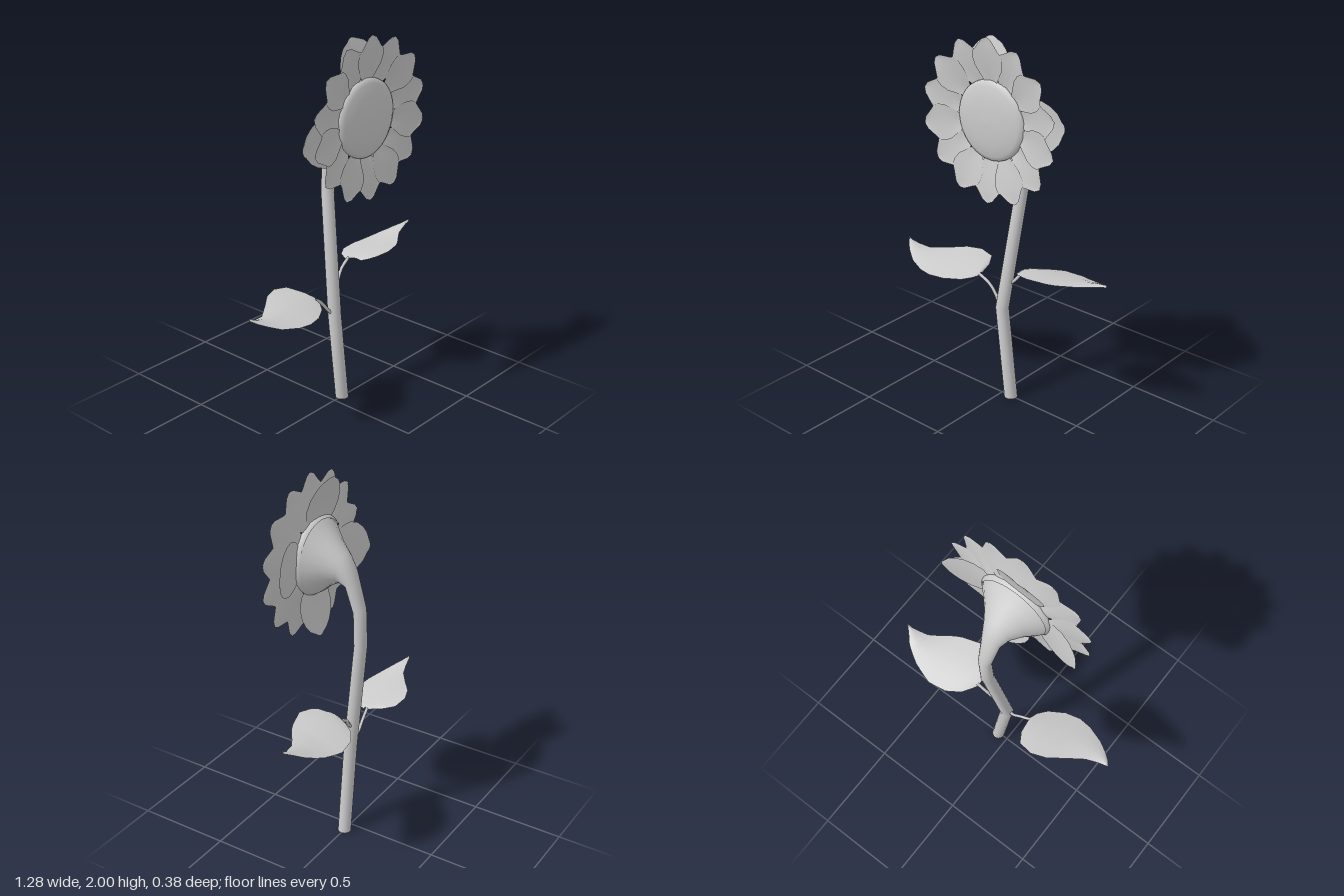
import * as THREE from 'three';

const grey = new THREE.MeshStandardMaterial({ color: 0xcccccc });
const greyThin = new THREE.MeshStandardMaterial({ color: 0xcccccc, side: THREE.DoubleSide });

// Surface through rows of equal length; closed joins the row ends.
function loft(rows, closed = false) {
  const n = rows[0].length, index = [];
  for (let i = 0; i < rows.length - 1; i++) {
    for (let j = 0; j < (closed ? n : n - 1); j++) {
      const k = (j + 1) % n;
      const a = i * n + j, b = i * n + k, c = a + n, d = b + n;
      index.push(a, c, b, b, c, d);
    }
  }
  const g = new THREE.BufferGeometry();
  g.setAttribute('position', new THREE.Float32BufferAttribute(rows.flat(2), 3));
  g.setIndex(index);
  g.computeVertexNormals();
  return g;
}

function add(parent, name, geometry, material = grey) {
  const mesh = new THREE.Mesh(geometry, material);
  mesh.name = name;
  parent.add(mesh);
  return mesh;
}

// Stem rings: x, y, z, radius, pitch in degrees (0 faces up, 90 faces forward)
const STEM = [
  [0.06, 0, 0, 0.035, 0], [0, 0.51, 0, 0.035, 0],
  [0.05, 1.15, -0.091, 0.034, 5], [0.06, 1.345, -0.092, 0.035, 25],
  [0.06, 1.51, -0.043, 0.053, 74], [0.06, 1.555, 0, 0.076, 84],
  [0.06, 1.57, 0.06, 0.12, 90], [0.06, 1.573, 0.112, 0.17, 90],
  [0.06, 1.58, 0.135, 0.19, 90],
];

function stemGeometry() {
  const sides = 20;
  return loft(STEM.map(([x, y, z, r, pitch]) => {
    const p = THREE.MathUtils.degToRad(pitch);
    return Array.from({ length: sides }, (_, j) => {
      const a = -j / sides * Math.PI * 2;
      const u = r * Math.cos(a), v = r * Math.sin(a);
      return [x + u, y - v * Math.sin(p), z + v * Math.cos(p)];
    });
  }).reverse(), true);
}

// Petal or sepal along +y: profile of [distance, half width, z], cupped across
function bladeGeometry(profile, cup) {
  return loft(profile.map(([r, w, z]) =>
    [-1, -0.5, 0, 0.5, 1].map(t => [t * w, r - 0.012 * t * t * (w > 0.03 ? 1 : 0), z + cup * t * t])));
}

// Leaf: stations of [x, back z, front z, rise], tilted across by slope
function leafGeometry(stations, height, slope) {
  return loft(stations.map(([x, back, front, rise]) =>
    [0, 0.25, 0.5, 0.75, 1].map(t => {
      const z = back + (front - back) * t;
      return [x, height + slope * z + rise + 0.012 * Math.sin(Math.PI * t), z];
    })));
}

function stalkGeometry(points) {
  const curve = new THREE.CatmullRomCurve3(points.map(p => new THREE.Vector3(...p)));
  return new THREE.TubeGeometry(curve, 8, 0.009, 6);
}

export function createModel() {
  const model = new THREE.Group();
  model.name = 'flower';

  // Stem flaring into the back of the head
  add(model, 'stem', stemGeometry());
  const foot = add(model, 'stemFoot', new THREE.CircleGeometry(0.035, 20));
  foot.rotation.x = Math.PI / 2;
  foot.position.x = 0.06;

  const head = new THREE.Group();
  head.name = 'flowerHead';
  head.position.set(0.06, 1.585, 0);
  model.add(head);

  // Domed seed disc
  const dome = [[0.185, 0.125], [0.2, 0.142], [0.197, 0.156], [0.175, 0.168], [0.12, 0.179], [0.06, 0.184], [0, 0.186]];
  const disc = add(head, 'seedDisc', new THREE.LatheGeometry(dome.map(p => new THREE.Vector2(...p)), 40));
  disc.rotation.x = Math.PI / 2;

  // Ring of overlapping pointed petals
  const petal = bladeGeometry([
    [0.16, 0.03, 0.14], [0.2, 0.036, 0.148], [0.235, 0.058, 0.156], [0.275, 0.083, 0.165],
    [0.315, 0.092, 0.172], [0.345, 0.088, 0.176], [0.365, 0.068, 0.178],
    [0.385, 0.052, 0.179], [0.4, 0.03, 0.18], [0.413, 0.002, 0.18],
  ], 0.004);
  const petals = 14;
  for (let i = 0; i < petals; i++) {
    const m = add(head, 'petal', petal, greyThin);
    m.rotation.z = i / petals * Math.PI * 2;
    m.position.z = i % 2 ? -0.004 : 0;
  }

  // Four broad sepals leaning back behind the petals
  const sepal = bladeGeometry([
    [0.14, 0.045, 0.135], [0.17, 0.085, 0.14], [0.21, 0.12, 0.137], [0.26, 0.135, 0.128],
    [0.31, 0.128, 0.116], [0.35, 0.105, 0.105], [0.38, 0.075, 0.096], [0.398, 0.035, 0.09],
  ], 0.008);
  for (const deg of [97, 5, 193, 280]) {
    add(head, 'sepal', sepal, greyThin).rotation.z = THREE.MathUtils.degToRad(deg - 90);
  }

  // Leaves and their stalks
  add(model, 'leftLeaf', leafGeometry([
    [0.148, -0.05, 0.05, -0.015], [0.165, -0.08, 0.085, -0.01], [0.2, -0.13, 0.11, -0.006],
    [0.27, -0.175, 0.13, 0], [0.37, -0.19, 0.1, 0], [0.41, -0.178, 0.08, 0.002],
    [0.48, -0.155, 0.03, 0.01], [0.525, -0.13, -0.001, 0.02], [0.57, -0.1, -0.014, 0.032],
    [0.61, -0.055, -0.024, 0.043], [0.637, -0.03, -0.024, 0.05],
  ], 0.782, 0.22), greyThin);
  add(model, 'rightLeaf', leafGeometry([
    [-0.152, -0.015, 0.015, -0.02], [-0.165, -0.09, 0.05, -0.014], [-0.2, -0.148, 0.095, -0.01],
    [-0.28, -0.16, 0.145, 0], [-0.36, -0.13, 0.165, 0.006], [-0.43, -0.075, 0.158, 0.01],
    [-0.52, -0.01, 0.125, 0.018], [-0.58, 0.01, 0.085, 0.035], [-0.615, 0.017, 0.055, 0.046],
    [-0.638, 0.021, 0.028, 0.055],
  ], 0.67, -0.2), greyThin);
  add(model, 'leftLeafStalk', stalkGeometry([[0.02, 0.64, -0.02], [0.06, 0.675, -0.03], [0.1, 0.725, -0.04], [0.16, 0.765, -0.045]]));
  add(model, 'rightLeafStalk', stalkGeometry([[-0.02, 0.52, 0], [-0.06, 0.57, -0.012], [-0.1, 0.615, -0.01], [-0.165, 0.655, 0]]));

  return model;
}
